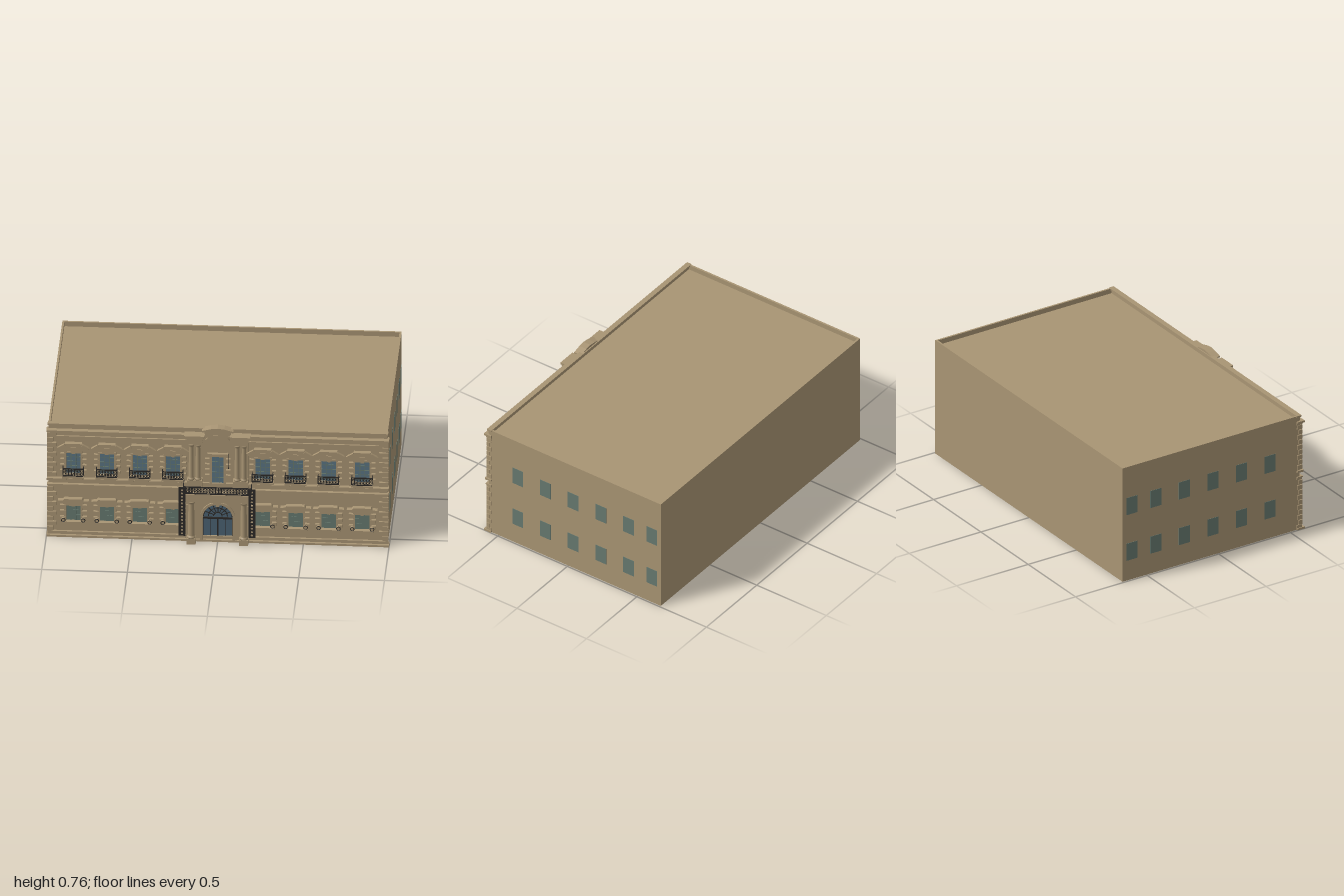
import * as THREE from 'three';

const mat = (name, color, side = THREE.FrontSide) => {
  const m = new THREE.MeshStandardMaterial({ color, side });
  m.name = name;
  return m;
};

export function createModel() {
  const stone = mat('stone', 0xa89473);
  const blueGlass = mat('blue glass', 0x5a7482);
  const greenGlass = mat('green glass', 0x66796f);
  const doorGlass = mat('door glass', 0x4b6272);
  const iron = mat('iron', 0x2b2927, THREE.DoubleSide);

  const model = new THREE.Group();
  model.name = 'palace';
  const group = (name, x = 0, parent = model) => {
    const g = new THREE.Group();
    g.name = name;
    g.position.x = x;
    parent.add(g);
    return g;
  };
  const add = (p, name, geo, m, x = 0, y = 0, z = 0) => {
    const mesh = new THREE.Mesh(geo, m);
    mesh.name = name;
    mesh.position.set(x, y, z);
    p.add(mesh);
    return mesh;
  };
  // Box given by its limits on each axis
  const box = (p, name, m, x0, x1, y0, y1, z0, z1) =>
    add(p, name, new THREE.BoxGeometry(x1 - x0, y1 - y0, z1 - z0), m, (x0 + x1) / 2, (y0 + y1) / 2, (z0 + z1) / 2);
  const poly = (pts) => new THREE.Shape(pts.map(([x, y]) => new THREE.Vector2(x, y)));
  const rect = (x0, x1, y0, y1) => poly([[x0, y0], [x1, y0], [x1, y1], [x0, y1]]);
  const plate = (p, name, m, shape, z0, z1) =>
    add(p, name, new THREE.ExtrudeGeometry(shape, { depth: z1 - z0, bevelEnabled: false, curveSegments: 14 }), m, 0, 0, z0);
  const frame = (p, name, x0, x1, y0, y1, t, z0, z1) => {
    const s = rect(x0 - t, x1 + t, y0 - t, y1 + t);
    s.holes.push(rect(x0, x1, y0, y1));
    return plate(p, name, stone, s, z0, z1);
  };
  // Thin straight bar between two points in the facade plane
  const bar = (p, m, x0, y0, x1, y1, z, t = 0.004) => {
    const b = add(p, 'bar', new THREE.BoxGeometry(Math.hypot(x1 - x0, y1 - y0), t, t), m, (x0 + x1) / 2, (y0 + y1) / 2, z);
    b.rotation.z = Math.atan2(y1 - y0, x1 - x0);
  };

  // Main block, roof slab and parapets
  const F = 0.57, B = -0.665;
  box(model, 'mainBlock', stone, -0.99, 0.99, 0, 0.71, B, F);
  box(model, 'backParapet', stone, -0.99, 0.99, 0.71, 0.74, B, B + 0.012);
  box(model, 'frontParapet', stone, -0.99, 0.99, 0.71, 0.74, F - 0.012, F + 0.005);
  for (const s of [-1, 1]) {
    box(model, 'sideParapet', stone, s * 0.984 - 0.006, s * 0.984 + 0.006, 0.71, 0.74, B + 0.012, F - 0.012);
  }

  // Horizontal mouldings across the front: [y0, y1, projection]
  [[0, 0.012, 0.03], [0.012, 0.03, 0.014], [0.325, 0.337, 0.014], [0.337, 0.345, 0.02], [0.372, 0.385, 0.024],
    [0.655, 0.66, 0.01], [0.683, 0.693, 0.017], [0.693, 0.705, 0.03], [0.732, 0.742, 0.012]]
    .forEach(([y0, y1, d]) => box(model, 'moulding', stone, -0.99 - d / 3, 0.99 + d / 3, y0, y1, 0.55, F + d));

  // Corner quoins, long and short blocks in turn
  for (const s of [-1, 1]) {
    for (let i = 0; i < 20; i++) {
      const y = 0.03 + i * 0.0327, long = i % 2;
      if (y > 0.31 && y < 0.385) continue;
      const w = long ? 0.055 : 0.035;
      box(model, 'quoin', stone, s > 0 ? 0.996 - w : -0.996, s > 0 ? 0.996 : w - 0.996,
        y + 0.002, y + 0.03, long ? 0.553 : 0.562, F + 0.015);
    }
  }

  // Iron railing: posts, rails and a row of rings
  const railing = (p, half, y0, y1, z, back) => {
    const g = group('railing', 0, p);
    for (const y of [y0, y1]) {
      box(g, 'rail', iron, -half, half, y - 0.003, y + 0.003, z - 0.003, z + 0.003);
      for (const s of [-1, 1]) box(g, 'sideRail', iron, s * half - 0.002, s * half + 0.002, y - 0.002, y + 0.002, back, z);
    }
    const n = Math.round(half / 0.0085), h = y1 - y0, step = 2 * half / n;
    for (let i = 0; i <= n; i++) {
      const x = -half + i * step;
      box(g, 'post', iron, x - 0.0018, x + 0.0018, y0, y1, z - 0.002, z + 0.002);
      if (i < n) {
        for (const k of [0.3, 0.7])
          add(g, 'scroll', new THREE.TorusGeometry(step * 0.36, 0.0015, 4, 10), iron, x + step / 2, y0 + h * k, z);
      }
    }
    for (const s of [-1, 1]) {
      for (let zz = back + 0.008; zz < z; zz += 0.01)
        box(g, 'sidePost', iron, s * half - 0.0015, s * half + 0.0015, y0, y1, zz - 0.001, zz + 0.001);
    }
  };

  const glazing = (p, m, hw, y0, y1, rows, z) => {
    box(p, 'glass', m, -hw, hw, y0, y1, z - 0.004, z);
    for (const x of [-hw / 3, hw / 3]) bar(p, greenGlass, x, y0, x, y1, z);
    for (let r = 1; r < rows; r++) {
      const y = y0 + (y1 - y0) * r / rows;
      bar(p, greenGlass, -hw, y, hw, y, z);
    }
  };

  const lowerWindow = (x) => {
    const g = group('lowerWindow', x);
    glazing(g, greenGlass, 0.042, 0.102, 0.2, 3, F + 0.003);
    frame(g, 'surround', -0.042, 0.042, 0.102, 0.2, 0.012, F, F + 0.014);
    box(g, 'sill', stone, -0.068, 0.068, 0.09, 0.102, F, F + 0.03);
    box(g, 'lintel', stone, -0.06, 0.06, 0.212, 0.228, F, F + 0.015);
    plate(g, 'hood', stone, poly([[-0.086, 0.228], [0.086, 0.228], [0.09, 0.24], [0.06, 0.242], [0.052, 0.252],
      [-0.052, 0.252], [-0.06, 0.242], [-0.09, 0.24]]), F, F + 0.03);
    plate(g, 'keystone', stone, poly([[-0.009, 0.2], [0.009, 0.2], [0.014, 0.232], [-0.014, 0.232]]), F, F + 0.022);
    for (const s of [-1, 1]) {
      for (let i = 0; i < 3; i++) {
        const c = s * 0.063;
        box(g, 'sideBlock', stone, c - 0.016, c + 0.016, 0.11 + i * 0.038, 0.13 + i * 0.038, F, F + 0.018);
      }
      add(g, 'scrollBracket', new THREE.CylinderGeometry(0.013, 0.013, 0.03, 14).rotateX(Math.PI / 2), stone, s * 0.058, 0.115, F + 0.017);
      add(g, 'scrollRing', new THREE.TorusGeometry(0.011, 0.0025, 5, 12), iron, s * 0.058, 0.115, F + 0.032);
    }
  };

  const upperWindow = (x) => {
    const g = group('upperWindow', x);
    glazing(g, blueGlass, 0.042, 0.405, 0.55, 5, F + 0.003);
    frame(g, 'surround', -0.042, 0.042, 0.402, 0.55, 0.012, F, F + 0.014);
    plate(g, 'pediment', stone, poly([[-0.075, 0.565], [0.075, 0.565], [0.09, 0.578], [0.088, 0.588], [0.05, 0.61],
      [0.025, 0.617], [-0.025, 0.617], [-0.05, 0.61], [-0.088, 0.588], [-0.09, 0.578]]), F, F + 0.018);
    for (const s of [-1, 1]) {
      bar(g, stone, s * 0.09, 0.583, s * 0.05, 0.608, F + 0.02, 0.014);
      for (let i = 0; i < 4; i++) {
        const c = s * 0.063;
        box(g, 'sideBlock', stone, c - 0.014, c + 0.014, 0.42 + i * 0.036, 0.439 + i * 0.036, F, F + 0.018);
      }
      box(g, 'bracket', stone, s * 0.045 - 0.008, s * 0.045 + 0.008, 0.385, 0.405, F, F + 0.04);
    }
    box(g, 'pedimentCap', stone, -0.05, 0.05, 0.607, 0.619, F, F + 0.028);
    plate(g, 'keystone', stone, poly([[-0.01, 0.55], [0.01, 0.55], [0.016, 0.59], [-0.016, 0.59]]), F, F + 0.024);
    box(g, 'balconyFloor', stone, -0.064, 0.064, 0.403, 0.415, F, 0.625);
    railing(g, 0.06, 0.42, 0.466, 0.622, F);
  };

  for (const s of [-1, 1]) {
    for (const x of [0.262, 0.455, 0.647, 0.843]) {
      lowerWindow(s * x);
      upperWindow(s * x);
    }
    // Flat windows along each side wall
    for (const z of [0.363, 0.164, -0.035, -0.235, -0.434, -0.6]) {
      for (const y of [0.13, 0.428])
        box(model, 'sideWindow', greenGlass, s * 0.99 - 0.002, s * 0.99 + 0.002, y, y + 0.111, z - 0.038, z + 0.038);
    }
  }

  // Round column with base and capital, turned on a lathe
  const column = (p, x, z, r, y0, y1) => {
    const h = y1 - y0;
    const pts = [[0, 0], [1.35, 0], [1.35, 0.03], [1.1, 0.05], [1, 0.07], [1, 0.45], [0.86, 0.91], [1.1, 0.925],
      [0.95, 0.94], [1.35, 0.97], [1.35, 1], [0, 1]].map(([a, b]) => new THREE.Vector2(a * r, b * h));
    add(p, 'column', new THREE.LatheGeometry(pts, 20), stone, x, y0, z);
  };

  // Entrance: arched wall, glazed door and fanlight
  const door = group('entrance');
  const wall = rect(-0.185, 0.185, 0, 0.285);
  const arch = (r) => {
    const s = new THREE.Shape();
    s.moveTo(-r, 0.01);
    s.lineTo(r, 0.01);
    s.lineTo(r, 0.158);
    s.absarc(0, 0.158, r, 0, Math.PI, false);
    s.closePath();
    return s;
  };
  wall.holes.push(arch(0.087));
  plate(door, 'archWall', stone, wall, F, F + 0.02);
  const archRing = arch(0.102);
  archRing.holes.push(arch(0.087));
  plate(door, 'archMoulding', stone, archRing, F, F + 0.03);
  plate(door, 'doorGlass', doorGlass, arch(0.087), F, F + 0.004);
  for (const x of [-0.083, -0.045, 0, 0.045, 0.083]) bar(door, iron, x, 0.012, x, 0.145, F + 0.006, x === 0 ? 0.008 : 0.004);
  bar(door, iron, -0.087, 0.147, 0.087, 0.147, F + 0.007, 0.01);
  bar(door, iron, -0.087, 0.02, 0.087, 0.02, F + 0.006, 0.012);
  for (let i = 1; i < 8; i++) {
    const a = Math.PI * i / 8;
    bar(door, iron, 0.025 * Math.cos(a), 0.158 + 0.025 * Math.sin(a), 0.086 * Math.cos(a), 0.158 + 0.086 * Math.sin(a), F + 0.006);
  }
  for (const r of [0.025, 0.055, 0.083])
    add(door, 'fanlightArc', new THREE.TorusGeometry(r, 0.003, 5, 24, Math.PI), iron, 0, 0.158, F + 0.006);
  plate(door, 'archKeystone', stone, poly([[-0.01, 0.24], [0.01, 0.24], [0.016, 0.282], [-0.016, 0.282]]), F, F + 0.045);

  // Lower portico: columns, entablature, balcony and lattice strips
  const portico = group('portico');
  for (const s of [-1, 1]) {
    box(portico, 'pedestal', stone, s * 0.153 - 0.027, s * 0.153 + 0.027, 0, 0.035, F, 0.64);
    box(portico, 'pilaster', stone, s * 0.153 - 0.024, s * 0.153 + 0.024, 0.035, 0.28, F, F + 0.024);
    column(portico, s * 0.153, 0.613, 0.019, 0.035, 0.28);
    const strip = rect(s * 0.204 - 0.02, s * 0.204 + 0.02, 0.068, 0.39);
    for (let i = 0; i < 14; i++) {
      const hole = new THREE.Path();
      hole.absarc(s * 0.204, 0.084 + i * 0.022, 0.007, 0, Math.PI * 2, true);
      strip.holes.push(hole);
    }
    plate(portico, 'latticeStrip', iron, strip, 0.659, 0.662);
  }
  box(portico, 'architrave', stone, -0.182, 0.182, 0.28, 0.3, F, 0.638);
  box(portico, 'frieze', stone, -0.186, 0.186, 0.3, 0.322, F, 0.643);
  box(portico, 'cornice', stone, -0.2, 0.2, 0.322, 0.34, F, 0.656);
  railing(portico, 0.198, 0.346, 0.388, 0.653, F);

  // Upper portico: paired columns, central window, plaque and crown
  const upper = group('upperPortico');
  box(upper, 'backWall', stone, -0.18, 0.18, 0.34, 0.7, F, F + 0.008);
  glazing(upper, blueGlass, 0.034, 0.385, 0.56, 5, F + 0.013);
  frame(upper, 'surround', -0.034, 0.034, 0.385, 0.56, 0.014, F, F + 0.024);
  box(upper, 'windowHood', stone, -0.06, 0.06, 0.572, 0.584, F, F + 0.034);
  plate(upper, 'plaque', stone, poly([[-0.055, 0.592], [0.055, 0.592], [0.072, 0.61], [0.072, 0.67], [0.055, 0.69],
    [-0.055, 0.69], [-0.072, 0.67], [-0.072, 0.61]]), F, F + 0.028);
  for (const s of [-1, 1]) {
    box(upper, 'plinth', stone, s * 0.134 - 0.044, s * 0.134 + 0.044, 0.34, 0.415, F, 0.622);
    for (const x of [0.114, 0.154]) column(upper, s * x, 0.602, 0.0145, 0.415, 0.652);
    [[0.652, 0.67, 0.044, 0.62], [0.67, 0.69, 0.047, 0.622], [0.69, 0.702, 0.054, 0.63], [0.702, 0.714, 0.06, 0.633]]
      .forEach(([y0, y1, w, z]) => box(upper, 'entablature', stone, s * 0.134 - w, s * 0.134 + w, y0, y1, 0.56, z));
    for (let i = 0; i < 4; i++)
      box(upper, 'sideBlock', stone, s * 0.061 - 0.013, s * 0.061 + 0.013, 0.42 + i * 0.036, 0.44 + i * 0.036, F, F + 0.026);
  }
  box(upper, 'crownBase', stone, -0.078, 0.078, 0.69, 0.732, 0.562, 0.598);
  plate(upper, 'crownPediment', stone, poly([[-0.092, 0.73], [0.092, 0.73], [0.092, 0.738], [0.04, 0.752], [0, 0.757],
    [-0.04, 0.752], [-0.092, 0.738]]), 0.557, 0.608);

  // Slanted flag rod over the balcony
  const rod = add(upper, 'flagRod', new THREE.CylinderGeometry(0.002, 0.002, 0.09, 6), iron, 0.066, 0.55, 0.624);
  rod.rotation.x = -0.3;

  return model;
}
